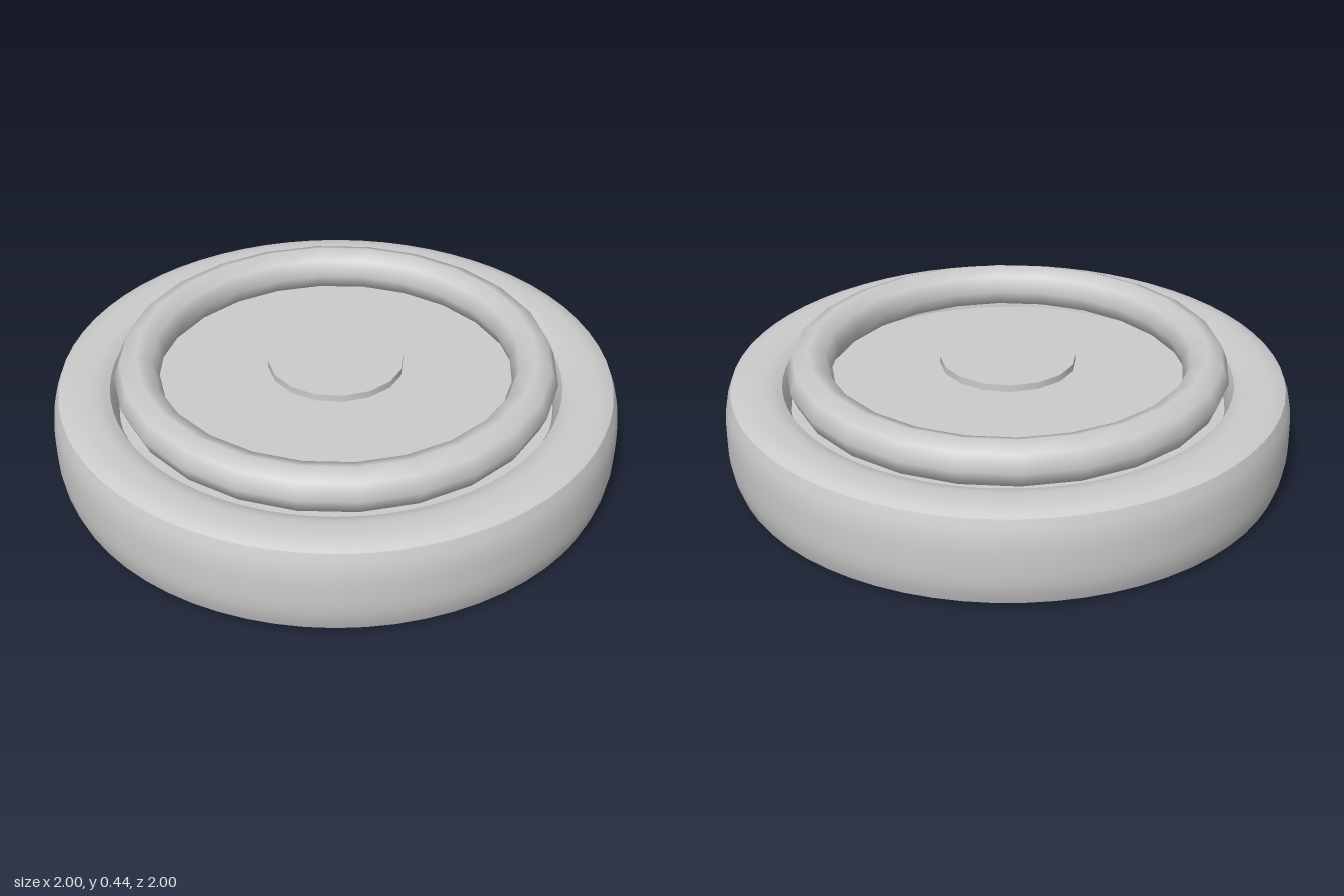
import * as THREE from 'three';

const material = new THREE.MeshStandardMaterial({ color: 0xcccccc });

function addPart(group, name, geometry, y = 0) {
  const mesh = new THREE.Mesh(geometry, material);
  mesh.name = name;
  mesh.position.y = y;
  group.add(mesh);
  return mesh;
}

// Bowed line from a to b, flat in the middle and rounder towards the corners;
// (bx, by) is the bulge at its middle
function bowedSide(a, b, bx, by, steps = 8) {
  const points = [];
  for (let i = 0; i <= steps; i++) {
    const t = i / steps, k = 1 - Math.abs(2 * t - 1) ** 3;
    points.push(new THREE.Vector2(
      a[0] + (b[0] - a[0]) * t + bx * k,
      a[1] + (b[1] - a[1]) * t + by * k));
  }
  return points;
}

export function createModel() {
  const group = new THREE.Group();
  group.name = 'roundPad';

  // Outer ring: four bowed sides, lathed separately so the corners stay sharp
  const inner = 0.797, outer = 0.976, low = 0.02, high = 0.325;
  const ring = new THREE.Group();
  ring.name = 'outerRing';
  group.add(ring);
  const sides = {
    ringOuterWall: bowedSide([outer, low], [outer, high], 0.024, 0),
    ringTop: bowedSide([outer, high], [inner, high], 0, 0.02),
    ringInnerWall: bowedSide([inner, high], [inner, low], -0.03, 0),
    ringUnderside: bowedSide([inner, low], [outer, low], 0, -0.02),
  };
  for (const [name, points] of Object.entries(sides)) {
    addPart(ring, name, new THREE.LatheGeometry(points, 64));
  }

  // Plate filling the ring at mid height, recessed equally on both faces
  addPart(group, 'innerPlate', new THREE.CylinderGeometry(0.77, 0.77, 0.125, 64), 0.1725);

  // Raised bead above the plate
  const bead = new THREE.TorusGeometry(0.7, 0.08, 8, 24).rotateX(-Math.PI / 2);
  addPart(group, 'raisedBead', bead, 0.365);

  // Small flat button hovering over the centre
  addPart(group, 'centreButton', new THREE.CylinderGeometry(0.24, 0.24, 0.025, 16), 0.387);

  return group;
}
